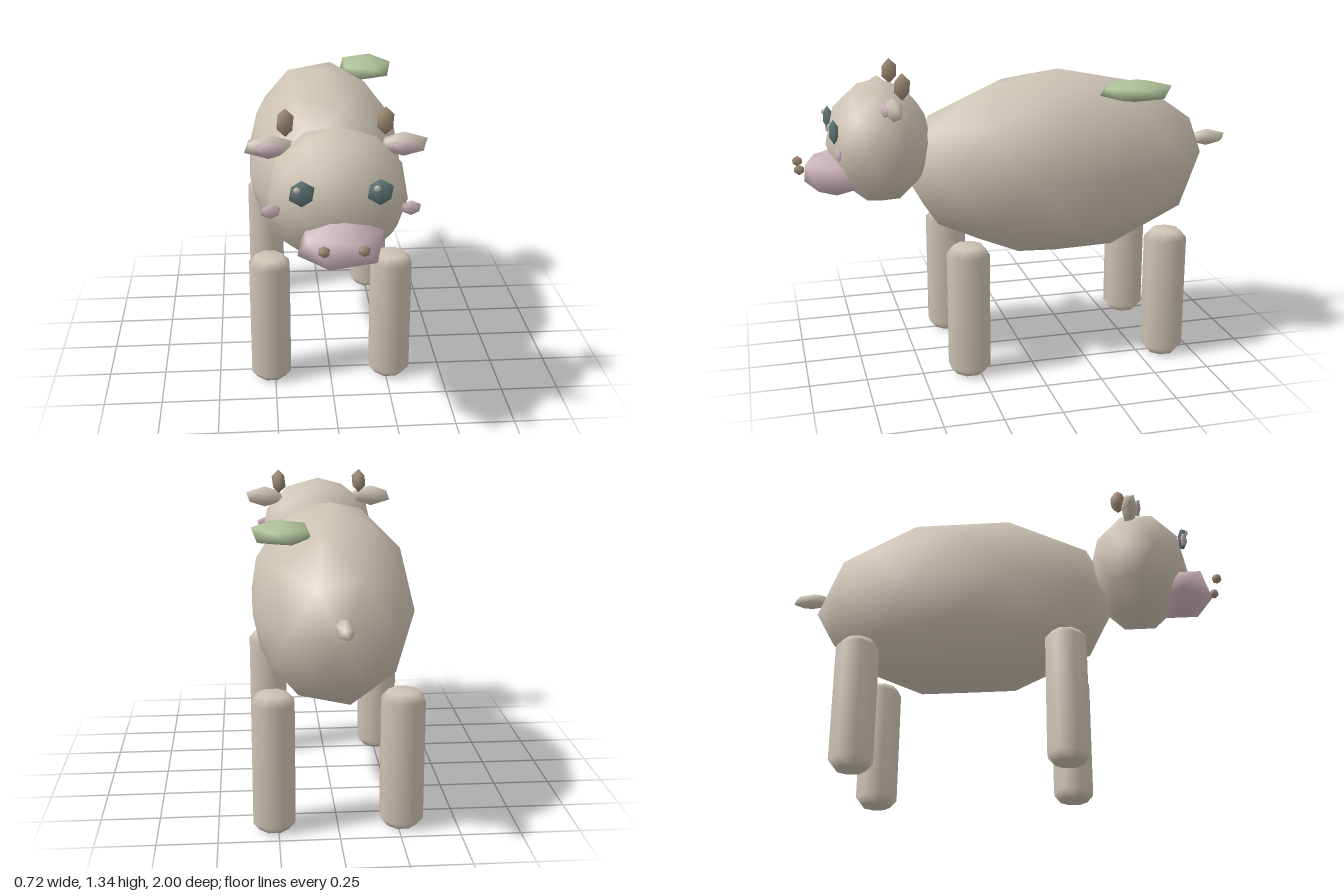
import * as THREE from 'three';

const mat = (name, color) => {
  const m = new THREE.MeshStandardMaterial({ color });
  m.name = name;
  return m;
};

// Smooth-shaded icosphere standing on a vertex, with an upper-ring vertex towards +x
function icosphere(detail) {
  const g = new THREE.IcosahedronGeometry(1, detail);
  g.rotateX(-Math.atan2((1 + Math.sqrt(5)) / 2, 1));
  g.rotateY(Math.PI / 2);
  g.setAttribute('normal', g.attributes.position.clone());
  return g;
}

export function createModel() {
  const model = new THREE.Group();
  model.name = 'cow';

  const hide = mat('hide beige', 0xcdc3b4);
  const pink = mat('soft pink', 0xcfb5bd);
  const teal = mat('eye teal', 0x5e7474);
  const brown = mat('horn brown', 0x9c8872);
  const green = mat('patch green', 0xadbf97);

  const coarse = icosphere(0);
  const fine = icosphere(1);

  const blob = (name, geometry, material, position, radii) => {
    const mesh = new THREE.Mesh(geometry, material);
    mesh.name = name;
    mesh.position.set(...position);
    mesh.scale.set(...radii);
    model.add(mesh);
  };

  // Body, head, snout, tail and the patch on the back
  blob('body', fine, hide, [0, 0.867, -0.18], [0.358, 0.428, 0.707]);
  blob('head', fine, hide, [0, 1.014, 0.63], [0.285, 0.274, 0.228]);
  blob('snout', coarse, pink, [0, 0.887, 0.82], [0.185, 0.109, 0.158]);
  blob('tail', coarse, hide, [0, 0.937, -0.915], [0.038, 0.039, 0.1]);
  blob('backPatch', coarse, green, [0.22, 1.222, -0.472], [0.136, 0.05, 0.178]);

  // Eight-sided leg with chamfered ends
  const profile = [[0, 0], [0.065, 0], [0.095, 0.035], [0.095, 0.555], [0.065, 0.59], [0, 0.59]];
  const legShape = new THREE.LatheGeometry(
    profile.map(([r, y]) => new THREE.Vector2(r, y)), 8, Math.PI / 8);

  for (const s of [-1, 1]) {
    const side = s > 0 ? 'left' : 'right';

    // Face details
    blob(side + 'Eye', coarse, teal, [s * 0.148, 1.097, 0.832], [0.054, 0.053, 0.022]);
    blob(side + 'EyeHighlight', coarse, hide, [s * 0.15 - 0.017, 1.118, 0.85], [0.014, 0.014, 0.008]);
    blob(side + 'Cheek', coarse, pink, [s * 0.265, 1.028, 0.826], [0.042, 0.03, 0.013]);
    blob(side + 'Nostril', coarse, brown, [s * 0.074, 0.925, 0.979], [0.024, 0.024, 0.024]);

    // Ears and horns
    blob(side + 'Ear', coarse, hide, [s * 0.265, 1.202, 0.595], [0.104, 0.05, 0.04]);
    blob(side + 'InnerEar', coarse, pink, [s * 0.265, 1.202, 0.632], [0.063, 0.03, 0.015]);
    blob(side + 'Horn', coarse, brown, [s * 0.197, 1.283, 0.547], [0.038, 0.058, 0.038]);

    // Legs
    for (const [end, z] of [['Front', 0.293], ['Back', -0.617]])
      blob(side + end + 'Leg', legShape, hide, [s * 0.267, 0, z], [1, 1, 1]);
  }

  return model;
}
